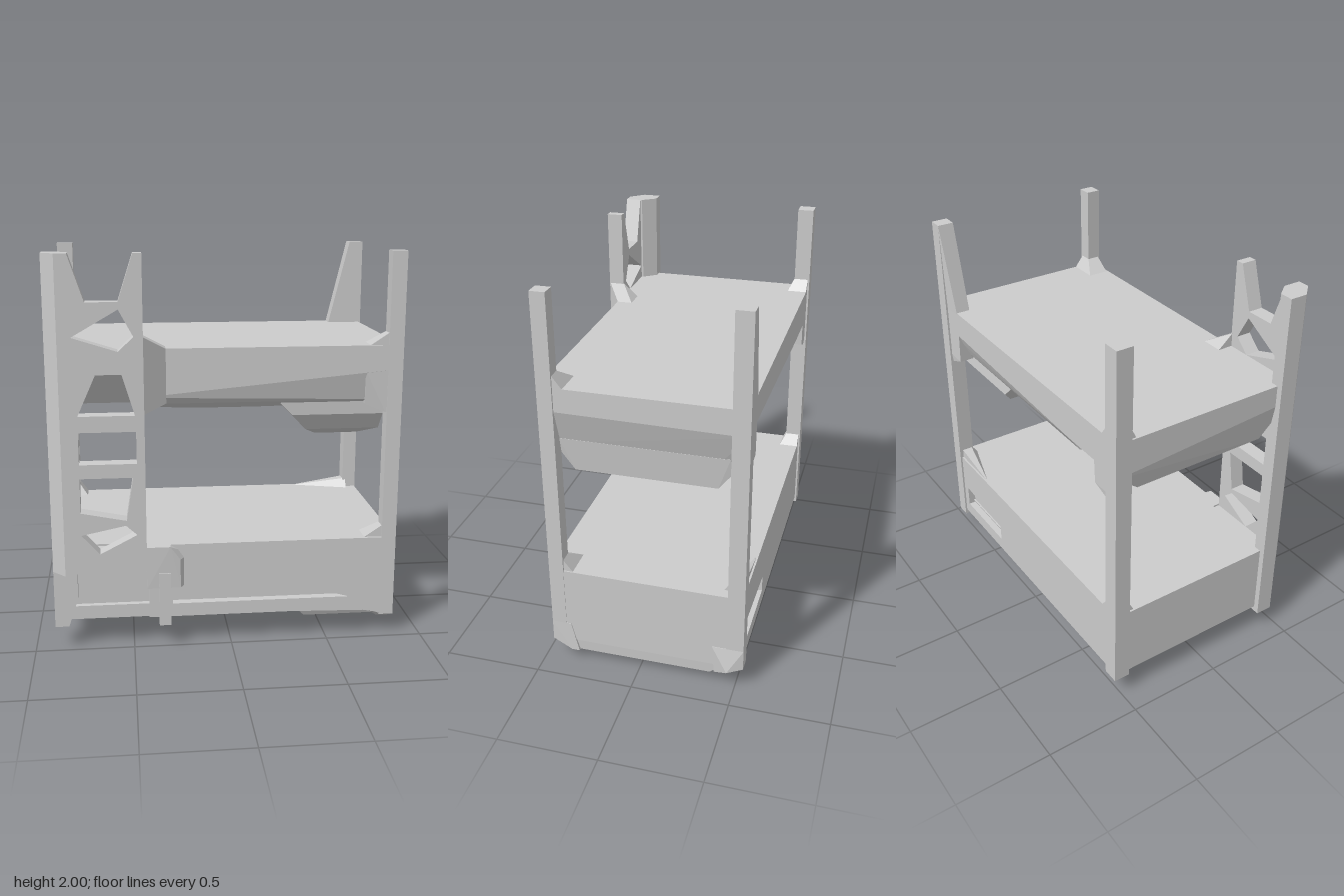
import * as THREE from 'three';
import { ConvexGeometry } from 'three/addons/geometries/ConvexGeometry.js';

const material = new THREE.MeshStandardMaterial({ color: 0xcccccc, flatShading: true });

export function createModel() {
  const model = new THREE.Group();

  const add = (name, geometry) => {
    const mesh = new THREE.Mesh(geometry, material);
    mesh.name = name;
    model.add(mesh);
    return mesh;
  };
  const box = (name, x0, x1, y0, y1, z0, z1) =>
    add(name, new THREE.BoxGeometry(x1 - x0, y1 - y0, z1 - z0)
      .translate((x0 + x1) / 2, (y0 + y1) / 2, (z0 + z1) / 2));
  // Convex solid around a list of points
  const hull = (name, pts) =>
    add(name, new ConvexGeometry(pts.map((p) => new THREE.Vector3(...p))));
  // Horizontal rectangle of points at height y
  const rect = (y, x0, x1, z0, z1) => [[x0, y, z0], [x1, y, z0], [x1, y, z1], [x0, y, z1]];
  // Upright plate with holes, outline in x and y
  const plate = (name, outline, holes, z0, z1) => {
    const toPoints = (list) => list.map((p) => new THREE.Vector2(...p));
    const shape = new THREE.Shape(toPoints(outline));
    holes.forEach((h) => shape.holes.push(new THREE.Path(toPoints(h))));
    return add(name, new THREE.ExtrudeGeometry(shape, { depth: z1 - z0, bevelEnabled: false })
      .translate(0, 0, z0));
  };

  // Corner posts
  box('frontLeftPost', 0.785, 0.86, 0.11, 2, 0.385, 0.46);
  box('backRightPost', -0.875, -0.79, 0.12, 2, -0.54, -0.455);
  box('backLeftPost', 0.785, 0.86, 0.12, 2, -0.54, -0.455);

  // Braces where posts meet the beds
  hull('backLeftTaper', [...rect(2, 0.785, 0.8, -0.54, -0.455), ...rect(1.53, 0.67, 0.8, -0.53, -0.455)]);
  for (const y of [1.54, 0.54]) {
    const corners = [[0.68, 0.85, 0.33, 0.45, 0.785, 0.85, 0.385, 0.45],
      [-0.86, -0.74, -0.53, -0.42, -0.86, -0.79, -0.53, -0.455]];
    for (const [x0, x1, z0, z1, u0, u1, w0, w1] of corners) {
      hull('postBrace', [...rect(y - 0.01, x0, x1, z0, z1), ...rect(y + 0.06, u0, u1, w0, w1)]);
    }
  }
  hull('lowerBackBrace', [[0.46, 0.535, -0.52], [0.8, 0.535, -0.52], [0.8, 0.59, -0.52],
    [0.8, 0.535, -0.42], [0.8, 0.59, -0.46]]);
  hull('backFoot', [...rect(0.23, 0.79, 0.86, -0.54, -0.38), [0.885, 0.1, -0.46], [0.85, 0.065, -0.39],
    [0.8, 0.08, -0.39], [0.8, 0.12, -0.54], [0.86, 0.12, -0.54]]);
  hull('frontFoot', [...rect(0.22, 0.74, 0.86, 0.36, 0.46), ...rect(0.06, 0.8, 0.865, 0.32, 0.36),
    [0.8, 0.11, 0.46], [0.86, 0.11, 0.46], [0.7, 0.15, 0.45]]);

  // Upper bed: straight sides that turn in towards the underside
  hull('upperBed', [
    ...rect(1.54, -0.45, 0.85, -0.53, 0.46),
    [-0.45, 1.3, 0.46], [0.85, 1.42, 0.46], [-0.45, 1.36, -0.53], [0.85, 1.41, -0.53],
    ...rect(1.34, -0.45, 0.805, -0.5, 0.44),
    ...rect(1.26, -0.45, 0.795, -0.46, 0.42),
    ...rect(1.235, -0.45, 0.79, -0.39, 0.36),
    ...rect(1.215, -0.15, 0.15, -0.34, 0.32),
  ]);
  hull('upperBedFootEnd', [
    ...rect(1.54, -0.87, -0.45, -0.53, 0.46),
    [-0.87, 1.43, 0.46], [-0.45, 1.43, 0.46], [-0.87, 1.36, -0.53], [-0.45, 1.36, -0.53],
    ...rect(1.25, -0.84, -0.45, -0.4, 0.32),
  ]);
  // Flares that carry the upper bed on its posts
  for (const [x, inward, z0, z1] of [[0.79, -1, 0.35, 0.46], [0.79, -1, -0.53, -0.42], [-0.8, 1, -0.53, -0.42]]) {
    const flare = (y, reach, a, b) => rect(y, Math.min(x, x + inward * reach), Math.max(x, x + inward * reach), a, b);
    const outer = z0 > 0 ? [0.4, 0.455] : [-0.525, -0.46];
    hull('bedFlare', [...flare(1.42, 0.12, z0, z1), ...flare(1.24, 0.11, z0, z0 + 0.08), ...flare(1.2, 0.01, ...outer)]);
  }

  // Sagging bundles beneath the head end of each bed
  hull('upperBulge', [
    ...rect(1.26, 0.24, 0.8, -0.44, 0.39),
    ...rect(1.18, 0.32, 0.785, -0.45, 0.385),
    ...rect(1.09, 0.4, 0.78, -0.38, 0.32),
    ...rect(1.05, 0.46, 0.7, -0.27, 0.23),
    ...rect(1.035, 0.5, 0.67, -0.19, 0.18),
  ]);
  hull('lowerBulge', [
    ...rect(0.24, 0.28, 0.855, -0.5, 0.4),
    ...rect(0.15, 0.33, 0.855, -0.46, 0.35),
    ...rect(0.06, 0.41, 0.85, -0.37, 0.32),
    ...rect(0.025, 0.46, 0.76, -0.27, 0.22),
    ...rect(0.005, 0.54, 0.67, -0.15, 0.12),
  ]);

  // Lower bed body and its side panels
  box('lowerBedBody', -0.87, 0.855, 0.21, 0.54, -0.49, 0.42);
  plate('lowerFrontPanel',
    [[-0.42, 0.15], [0.3, 0.15], [0.7, 0.14], [0.8, 0.12], [0.8, 0.54], [-0.42, 0.54]],
    [[[-0.3, 0.22], [0.62, 0.22], [0.4, 0.28], [0.25, 0.31], [-0.2, 0.32], [-0.3, 0.32]]], 0.41, 0.465);
  plate('lowerBackPanel',
    [[-0.87, 0.15], [0.85, 0.15], [0.85, 0.54], [-0.87, 0.54]],
    [[[0.33, 0.22], [0.74, 0.22], [0.74, 0.34], [0.33, 0.31]]], -0.53, -0.48);
  hull('footEndRail', [...rect(0.23, -0.87, -0.71, -0.52, 0.42), ...rect(0.15, -0.87, -0.82, -0.52, 0.42)]);
  box('headEndRail', 0.79, 0.857, 0.12, 0.54, -0.5, 0.42);
  box('railUnderLadder', -0.84, -0.4, 0.15, 0.22, 0.38, 0.45);

  // Bracket and short leg beside the ladder
  hull('legBracket', [
    [-0.43, 0.54, 0.4], [-0.31, 0.54, 0.4], [-0.2, 0.47, 0.4], [-0.2, 0.32, 0.4], [-0.43, 0.32, 0.4],
    [-0.43, 0.54, 0.5], [-0.31, 0.54, 0.5], [-0.26, 0.47, 0.495], [-0.26, 0.32, 0.495], [-0.43, 0.32, 0.5],
  ]);
  box('shortLeg', -0.37, -0.31, 0.12, 0.4, 0.43, 0.505);

  // Ladder post with a six-sided section
  const section = [[-0.9, 0.38], [-0.83, 0.38], [-0.775, 0.45], [-0.775, 0.54], [-0.835, 0.54], [-0.9, 0.47]];
  hull('ladderPost', [2, 0.42].flatMap((y) => section.map(([x, z]) => [x, y, z])));
  hull('ladderFoot', [...rect(0.43, -0.9, -0.78, 0.38, 0.47), ...rect(0.27, -0.9, -0.78, 0.38, 0.47),
    ...rect(0.12, -0.9, -0.83, 0.38, 0.47)]);

  // Ladder plate with uneven step openings
  plate('ladder',
    [[-0.835, 0.43], [-0.43, 0.43], [-0.43, 2], [-0.472, 2], [-0.545, 1.775], [-0.7, 1.775], [-0.775, 2], [-0.835, 2]],
    [
      [[-0.77, 1.61], [-0.55, 1.54], [-0.475, 1.61], [-0.545, 1.74]],
      [[-0.75, 1.23], [-0.475, 1.23], [-0.535, 1.43], [-0.66, 1.43]],
      [[-0.75, 0.99], [-0.47, 0.99], [-0.47, 1.15], [-0.75, 1.15]],
      [[-0.75, 0.745], [-0.525, 0.7], [-0.49, 0.92], [-0.75, 0.92]],
      [[-0.75, 0.63], [-0.66, 0.53], [-0.475, 0.625], [-0.53, 0.675]],
    ], 0.46, 0.54);
  // Links from the ladder to the beds
  hull('upperLadderLink', [
    [-0.435, 1.61, 0.54], [-0.435, 1.61, 0.46], [-0.435, 1.23, 0.54], [-0.435, 1.23, 0.46],
    [-0.32, 1.54, 0.46], [-0.32, 1.54, 0.38], [-0.32, 1.27, 0.46], [-0.32, 1.27, 0.39], [-0.435, 1.54, 0.38],
  ]);
  hull('lowerLadderLink', [...rect(0.53, -0.86, -0.43, 0.4, 0.5), ...rect(0.43, -0.86, -0.43, 0.4, 0.5),
    ...rect(0.4, -0.86, -0.43, 0.4, 0.42)]);

  return model;
}
